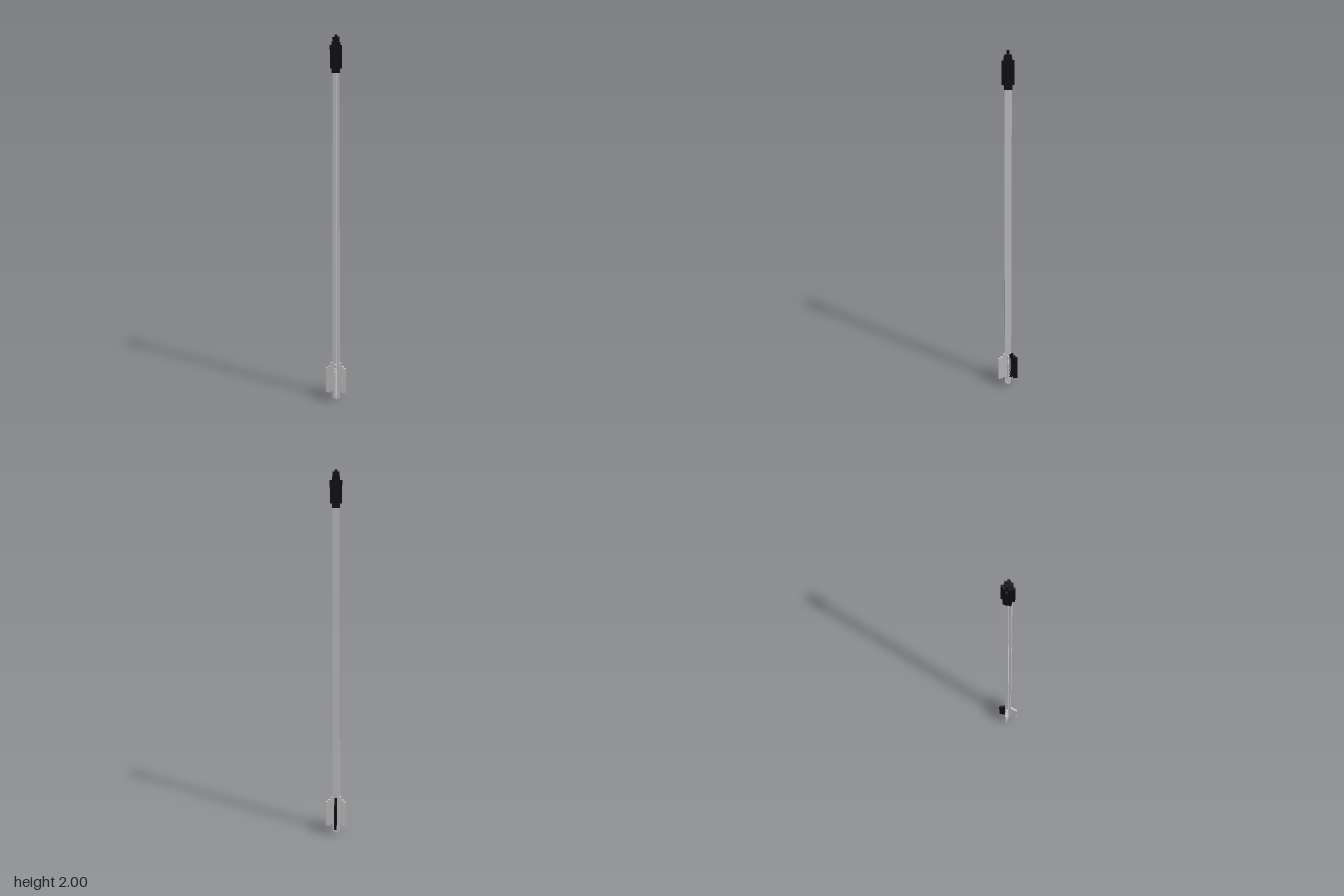
import * as THREE from 'three';

export function createModel() {
  const group = new THREE.Group();
  const grey = new THREE.MeshStandardMaterial({ color: 0xcccccc, flatShading: true });
  const black = new THREE.MeshStandardMaterial({ color: 0x111111, flatShading: true });
  const T = 0.012; // thickness of every thin plate

  // Box spanning y0..y1, centred on the arrow's axis
  function block(name, w, d, y0, y1, material, parent = group) {
    const mesh = new THREE.Mesh(new THREE.BoxGeometry(w, y1 - y0, d), material);
    mesh.position.y = (y0 + y1) / 2;
    mesh.name = name;
    parent.add(mesh);
  }

  // Upright prism with a plus-shaped cross-section
  function plusPrism(name, half, y0, y1, material) {
    const t = T / 2, pts = [];
    for (let i = 0; i < 4; i++) {
      const c = Math.cos(i * Math.PI / 2), s = Math.sin(i * Math.PI / 2);
      for (const [x, y] of [[half, -t], [half, t], [t, t]]) {
        pts.push(new THREE.Vector2(x * c - y * s, x * s + y * c));
      }
    }
    const geo = new THREE.ExtrudeGeometry(new THREE.Shape(pts), { depth: y1 - y0, bevelEnabled: false });
    geo.rotateX(-Math.PI / 2).translate(0, y0, 0);
    const mesh = new THREE.Mesh(geo, material);
    mesh.name = name;
    group.add(mesh);
  }

  // Shaft, running down to the nock
  plusPrism('shaft', 0.0185, 0, 1.82, grey);

  // Stepped head: square core, crossed blades and a narrow tip
  const head = new THREE.Group();
  head.name = 'head';
  group.add(head);
  block('headCore', 0.039, 0.039, 1.81, 1.965, black, head);
  block('bladeX', 0.063, T, 1.832, 1.95, black, head);
  block('bladeZ', T, 0.063, 1.832, 1.95, black, head);
  block('upperBladeX', 0.037, T, 1.95, 1.99, black, head);
  block('upperBladeZ', T, 0.037, 1.95, 1.977, black, head);
  block('tip', T, T, 1.98, 2.0, black, head);

  // Four fins with stepped tops and a small notch under the root
  const outline = [
    [0.006, 0.045], [0.031, 0.045], [0.031, 0.034], [0.057, 0.034], [0.057, 0.18],
    [0.044, 0.18], [0.044, 0.192], [0.031, 0.192], [0.031, 0.212], [0.006, 0.212],
  ];
  const finGeo = new THREE.ExtrudeGeometry(
    new THREE.Shape(outline.map(([x, y]) => new THREE.Vector2(x, y))),
    { depth: T, bevelEnabled: false }
  ).translate(0, 0, -T / 2);
  ['leftFin', 'backFin', 'rightFin', 'frontFin'].forEach((name, i) => {
    const fin = new THREE.Mesh(finGeo, name === 'backFin' ? black : grey);
    fin.rotation.y = i * Math.PI / 2;
    fin.name = name;
    group.add(fin);
  });

  return group;
}
